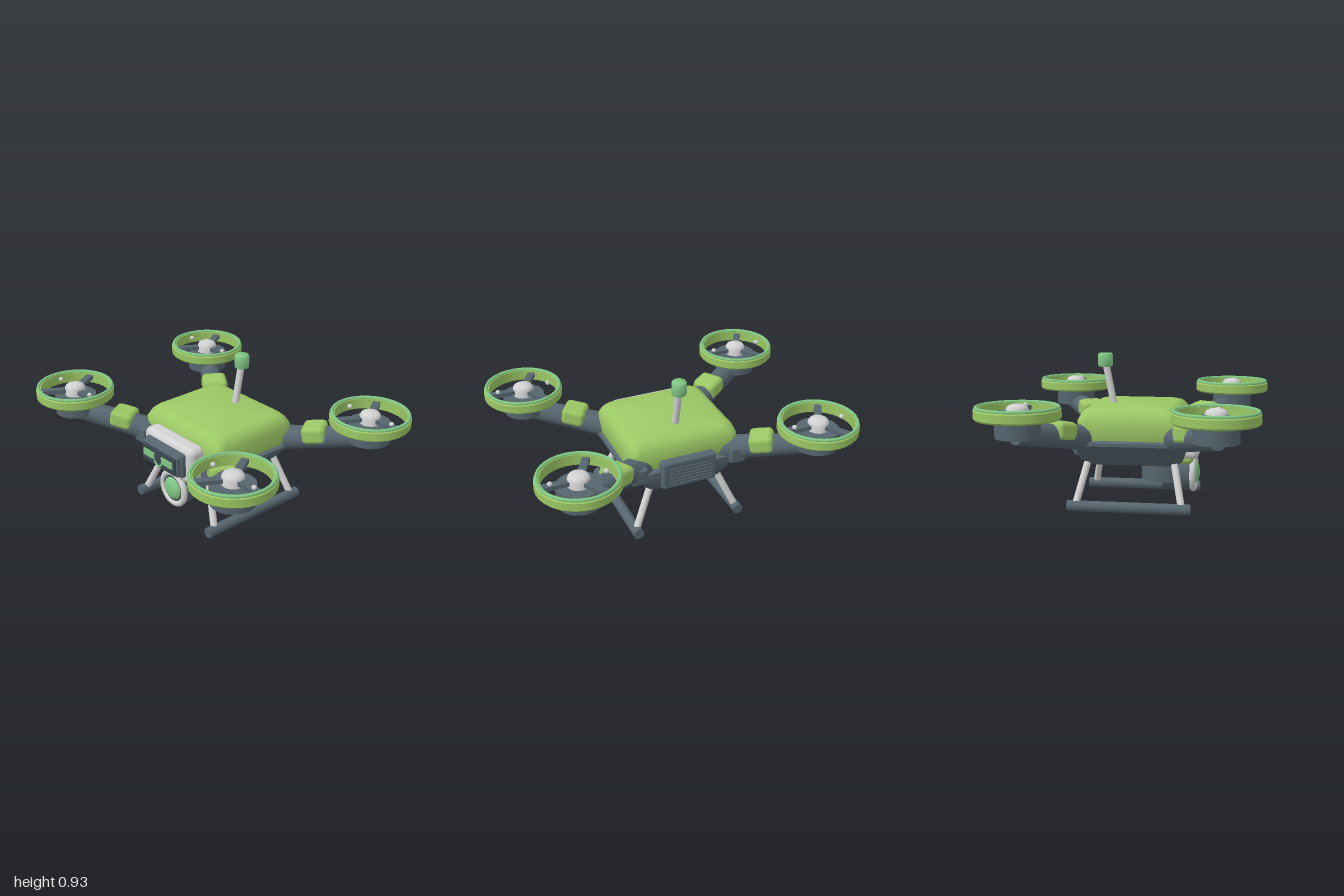
import * as THREE from 'three';
import { toCreasedNormals } from 'three/addons/utils/BufferGeometryUtils.js';
import { RoundedBoxGeometry } from 'three/addons/geometries/RoundedBoxGeometry.js';

const material = (name, color) => {
  const m = new THREE.MeshStandardMaterial({ color });
  m.name = name;
  return m;
};
const V = (x, y, z) => new THREE.Vector3(x, y, z);

// Rounded-rectangle cross-sections [y, halfX, halfZ], stacked upwards and capped
function loft(sections, radius) {
  const pos = [], idx = [], per = 5, n = per * 4;
  for (const [y, hx, hz] of sections) {
    [[1, 1], [-1, 1], [-1, -1], [1, -1]].forEach(([sx, sz], c) => {
      for (let k = 0; k < per; k++) {
        const a = (c + k / (per - 1)) * Math.PI / 2;
        pos.push(sx * (hx - radius) + radius * Math.cos(a), y, sz * (hz - radius) + radius * Math.sin(a));
      }
    });
  }
  const last = sections.length - 1, bottom = pos.length / 3;
  pos.push(0, sections[0][0], 0, 0, sections[last][0], 0);
  for (let j = 0; j < n; j++) {
    const k = (j + 1) % n;
    for (let i = 0; i < last; i++) {
      const a = i * n + j, b = i * n + k;
      idx.push(a, a + n, b + n, a, b + n, b);
    }
    idx.push(bottom, j, k, bottom + 1, last * n + k, last * n + j);
  }
  const g = new THREE.BufferGeometry();
  g.setAttribute('position', new THREE.Float32BufferAttribute(pos, 3));
  g.setIndex(idx);
  return toCreasedNormals(g, 0.7);
}

export function createModel() {
  const green = material('leaf green', 0x9cc865);
  const mint = material('mint', 0x81c784);
  const slate = material('slate', 0x56656f);
  const dark = material('dark slate', 0x3a464e);
  const light = material('light grey', 0xd2d2d2);
  const model = new THREE.Group();
  model.name = 'quadcopter';

  const add = (name, geometry, mat, x = 0, y = 0, z = 0, parent = model) => {
    const mesh = new THREE.Mesh(geometry, mat);
    mesh.name = name;
    mesh.position.set(x, y, z);
    parent.add(mesh);
    return mesh;
  };
  const box = (w, h, d, r = 0.02, seg = 3) => new RoundedBoxGeometry(w, h, d, seg, r);
  const cyl = (r, h, sides = 24) => new THREE.CylinderGeometry(r, r, h, sides);
  const rod = (name, a, b, ra, rb, mat, parent = model) => {
    const mesh = add(name, new THREE.CylinderGeometry(rb, ra, a.distanceTo(b), 16), mat, 0, 0, 0, parent);
    mesh.position.copy(a).add(b).multiplyScalar(0.5);
    mesh.quaternion.setFromUnitVectors(V(0, 1, 0), b.clone().sub(a).normalize());
    return mesh;
  };

  // Body
  add('lowerHull', loft([
    [0.27, 0.23, 0.28], [0.295, 0.25, 0.315], [0.36, 0.305, 0.335],
    [0.405, 0.366, 0.335], [0.425, 0.366, 0.335], [0.44, 0.34, 0.3],
  ], 0.06), slate);
  add('upperShell', loft([
    [0.415, 0.34, 0.3], [0.45, 0.352, 0.312], [0.55, 0.352, 0.312],
    [0.59, 0.335, 0.29], [0.615, 0.31, 0.265], [0.625, 0.28, 0.235],
  ], 0.06), green);

  // Face: chin, plate, visor, eyes and smile
  add('chin', box(0.43, 0.09, 0.14, 0.03), green, 0, 0.325, 0.305);
  add('facePlate', box(0.455, 0.24, 0.12, 0.04), light, 0, 0.43, 0.35);
  add('visorBack', box(0.36, 0.155, 0.06, 0.018), slate, 0, 0.437, 0.412);
  add('visorFrame', box(0.335, 0.135, 0.05, 0.015), slate, 0, 0.437, 0.44);
  add('visorScreen', box(0.315, 0.115, 0.02, 0.008), dark, 0, 0.437, 0.464);
  for (const s of [1, -1]) {
    add('eye', new THREE.BoxGeometry(0.1, 0.042, 0.009), mint, s * 0.085, 0.443, 0.478);
  }
  const smile = add('smile', new THREE.TorusGeometry(0.032, 0.007, 8, 16, Math.PI), mint, 0, 0.422, 0.475);
  smile.rotation.z = Math.PI;

  // Camera under the nose
  add('cameraMount', cyl(0.14, 0.15), slate, 0, 0.225, 0.175);
  add('cameraHousing', cyl(0.112, 0.185).rotateX(Math.PI / 2), slate, 0, 0.195, 0.267);
  add('cameraRing', new THREE.TorusGeometry(0.103, 0.02, 12, 32), light, 0, 0.195, 0.362);
  add('cameraBezel', cyl(0.095, 0.02).rotateX(Math.PI / 2), dark, 0, 0.195, 0.36);
  const lens = add('cameraLens', new THREE.SphereGeometry(0.075, 24, 16), mint, 0, 0.195, 0.366);
  lens.scale.z = 0.45;

  // Rear vent with a grille
  add('ventFrame', box(0.35, 0.18, 0.07, 0.015), slate, 0, 0.4, -0.33);
  add('ventPanel', box(0.29, 0.14, 0.03, 0.008), dark, 0, 0.4, -0.362);
  for (let i = 0; i < 6; i++) {
    add('ventBar', new THREE.BoxGeometry(0.28, 0.012, 0.009), slate, 0, 0.345 + i * 0.022, -0.38);
  }
  for (let i = 0; i < 11; i++) {
    add('ventRib', new THREE.BoxGeometry(0.007, 0.13, 0.008), slate, -0.135 + i * 0.027, 0.4, -0.379);
  }

  // Antenna
  rod('antennaRod', V(0, 0.6, -0.14), V(0, 0.87, -0.193), 0.022, 0.022, light);
  add('antennaTip', toCreasedNormals(new THREE.LatheGeometry([
    [0, -0.042], [0.043, -0.042], [0.046, -0.036], [0.046, 0.034], [0.04, 0.042], [0, 0.044],
  ].map(p => new THREE.Vector2(...p)), 20), 0.9), mint, 0, 0.888, -0.195);

  // Landing gear
  for (const s of [1, -1]) {
    add('skid', cyl(0.033, 0.745, 16).rotateX(Math.PI / 2), slate, s * 0.335, 0.033, 0.002);
    for (const f of [1, -1]) {
      rod('strut', V(s * 0.335, 0.035, f * 0.322), V(s * 0.215, 0.3, f * 0.262), 0.022, 0.022, light);
    }
  }

  // Arms with motors and guarded rotors
  const guard = toCreasedNormals(new THREE.LatheGeometry([
    [0.214, 0.618], [0.236, 0.618], [0.245, 0.628], [0.245, 0.674], [0.236, 0.684], [0.214, 0.684], [0.214, 0.618],
  ].map(p => new THREE.Vector2(...p)), 32), 0.5);
  const lip = new THREE.TorusGeometry(0.23, 0.011, 8, 32).rotateX(Math.PI / 2);
  const hub = toCreasedNormals(new THREE.LatheGeometry([
    [0.064, 0.6], [0.064, 0.675], [0.055, 0.692], [0.035, 0.701], [0, 0.704],
  ].map(p => new THREE.Vector2(...p)), 24), 0.9);

  for (const sx of [1, -1]) for (const sz of [1, -1]) {
    const arm = new THREE.Group();
    arm.name = `${sz > 0 ? 'front' : 'back'}${sx > 0 ? 'Left' : 'Right'}Arm`;
    model.add(arm);
    const root = V(sx * 0.25, 0.44, sz * 0.24), end = V(sx * 0.76, 0.535, sz * 0.56);
    add('armSocket', box(0.1, 0.1, 0.12, 0.01), slate, sx * 0.32, 0.44, sz * 0.315, arm);
    rod('armTube', root, end, 0.078, 0.062, slate, arm);
    const cuff = add('armCuff', box(0.165, 0.11, 0.15, 0.03, 1), green, 0, 0, 0, arm);
    cuff.position.lerpVectors(root, end, 0.43).add(V(0, 0.034, 0));
    cuff.lookAt(end.clone().add(V(0, 0.034, 0)));

    const rotor = new THREE.Group();
    rotor.name = 'rotor';
    rotor.position.set(sx * 0.75, 0, sz * 0.55);
    arm.add(rotor);
    add('motor', cyl(0.13, 0.115), slate, 0, 0.572, 0, rotor);
    add('rotorGuard', guard, green, 0, 0, 0, rotor);
    add('guardLip', lip, mint, 0, 0.686, 0, rotor);
    add('rotorHub', hub, light, 0, 0, 0, rotor);
    for (let i = 0; i < 3; i++) {
      const spoke = add('spoke', new THREE.BoxGeometry(0.19, 0.025, 0.045).translate(0.125, 0, 0), slate, 0, 0.658, 0, rotor);
      spoke.rotation.y = i * Math.PI * 2 / 3;
    }
    for (const s of [1, -1]) {
      add('marker', new THREE.SphereGeometry(0.015, 12, 8), light, s * 0.162, 0.675, 0, rotor);
    }
  }
  return model;
}
